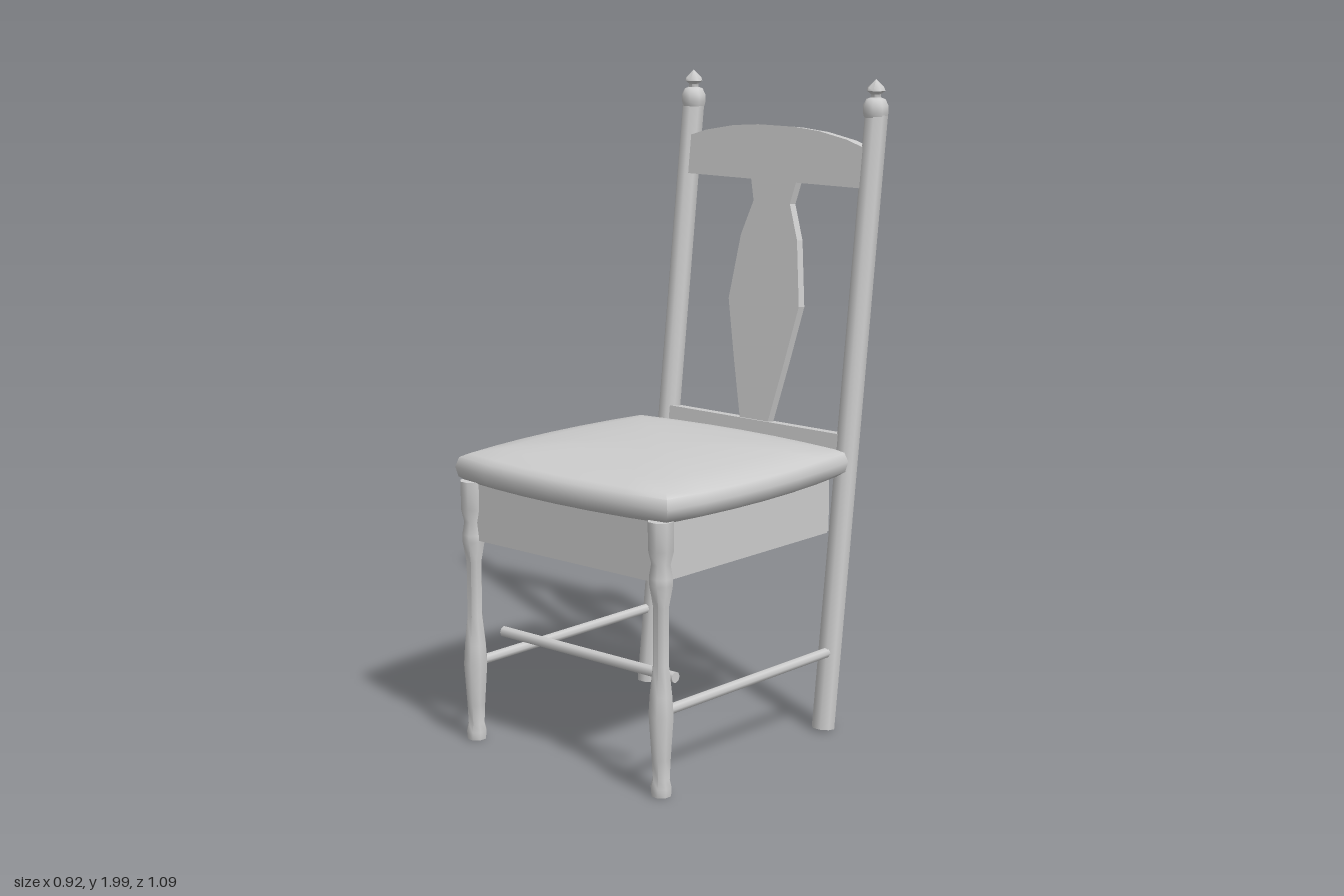
import * as THREE from 'three';
import { toCreasedNormals } from 'three/addons/utils/BufferGeometryUtils.js';

const wood = new THREE.MeshStandardMaterial({ color: 0xcccccc });
wood.name = 'pale grey';

function add(parent, name, geometry, x = 0, y = 0, z = 0) {
  const mesh = new THREE.Mesh(geometry, wood);
  mesh.name = name;
  mesh.position.set(x, y, z);
  parent.add(mesh);
  return mesh;
}

// Turned part from [radius, height] pairs
function turned(profile, sides = 8) {
  const points = profile.map(([r, y]) => new THREE.Vector2(r, y));
  return toCreasedNormals(new THREE.LatheGeometry(points, sides, Math.PI / sides), 0.9);
}

// Flat board, centred in depth, from the right half of its outline
function board(half, depth) {
  const left = half.filter(([x]) => x > 0).reverse().map(([x, y]) => [-x, y]);
  const shape = new THREE.Shape([...half, ...left].map(([x, y]) => new THREE.Vector2(x, y)));
  const geometry = new THREE.ExtrudeGeometry(shape, { depth, bevelEnabled: false });
  geometry.translate(0, 0, -depth / 2);
  return geometry;
}

// Cushioned seat: a bowed square outline scaled through rings of height
function seatGeometry() {
  const steps = 6, outline = [];
  const bow = t => 1 - t * t;
  for (let side = 0; side < 4; side++) {
    for (let i = 0; i < steps; i++) {
      const t = 1 - (2 * i) / steps;
      const x = 0.425 + 0.036 * bow(t), z = 0.414 + 0.037 * bow(t);
      outline.push([[x, 0.414 * t], [0.425 * t, -z], [-x, -0.414 * t], [-0.425 * t, z]][side]);
    }
  }
  const rings = [[0, 0.815], [0.94, 0.815], [0.985, 0.83], [1, 0.86], [0.98, 0.889],
    [0.93, 0.9], [0.75, 0.915], [0.45, 0.926], [0, 0.93]];
  const positions = [], index = [], n = outline.length;
  rings.forEach(([s, y], r) => {
    outline.forEach(([x, z], i) => {
      positions.push(x * s, y, z * s);
      if (r === 0) return;
      const a = (r - 1) * n + i, b = (r - 1) * n + (i + 1) % n;
      if (rings[r - 1][0] > 0) index.push(a, b, a + n);
      if (s > 0) index.push(b, b + n, a + n);
    });
  });
  const geometry = new THREE.BufferGeometry();
  geometry.setAttribute('position', new THREE.Float32BufferAttribute(positions, 3));
  geometry.setIndex(index);
  return toCreasedNormals(geometry, 1.0);
}

export function createModel() {
  const chair = new THREE.Group();
  chair.name = 'chair';

  add(chair, 'seat', seatGeometry(), 0, 0, 0.097);

  // Open apron frame under the seat
  add(chair, 'frontApron', new THREE.BoxGeometry(0.72, 0.18, 0.02), 0, 0.73, 0.485);
  add(chair, 'backApron', new THREE.BoxGeometry(0.74, 0.18, 0.02), 0, 0.73, -0.285);
  for (const s of [-1, 1]) {
    add(chair, 'sideApron', new THREE.BoxGeometry(0.02, 0.18, 0.75), s * 0.37, 0.73, 0.1);
  }

  // Reclined back frame
  const back = new THREE.Group();
  back.name = 'backFrame';
  back.position.z = -0.285;
  back.rotation.x = -0.119;
  chair.add(back);

  const legProfile = [[0, 0.01], [0.03, 0.01], [0.032, 0.035], [0.026, 0.06], [0.029, 0.12],
    [0.038, 0.25], [0.034, 0.31], [0.024, 0.4], [0.024, 0.57], [0.036, 0.635], [0.036, 0.655],
    [0.029, 0.695], [0.039, 0.735], [0.039, 0.82], [0, 0.82]];
  const finialProfile = [[0, 1.885], [0.036, 1.885], [0.04, 1.9], [0.04, 1.92], [0.03, 1.94],
    [0.016, 1.945], [0.016, 1.955], [0.029, 1.965], [0.026, 1.975], [0, 2]];
  const postProfile = [[0, 0.012], [0.036, 0.012], [0.036, 1.905], [0, 1.905]];

  for (const s of [-1, 1]) {
    add(chair, 'frontLeg', turned(legProfile), s * 0.378, 0, 0.485);
    add(back, 'backPost', turned(postProfile), s * 0.365, 0, 0);
    add(chair, 'finial', turned(finialProfile), s * 0.363, 0, -0.51);
    const rod = new THREE.CylinderGeometry(0.016, 0.016, 0.76, 8);
    add(chair, 'sideStretcher', rod, s * 0.372, 0.255, 0.09).rotation.x = Math.PI / 2;
  }

  // Front stretcher
  const frontRod = new THREE.CylinderGeometry(0.017, 0.017, 0.7, 8);
  add(chair, 'frontStretcher', frontRod, 0, 0.333, 0.39).rotation.z = Math.PI / 2;

  // Arched crest rail, vase-shaped splat and lower rail
  add(back, 'crestRail', board([[0, 1.682], [0.345, 1.682], [0.345, 1.805], [0.28, 1.825],
    [0.17, 1.845], [0.07, 1.853], [0, 1.853]], 0.05));
  add(back, 'splat', board([[0, 0.92], [0.055, 0.92], [0.1, 1.11], [0.142, 1.3], [0.113, 1.505],
    [0.073, 1.615], [0.092, 1.69], [0, 1.69]], 0.028));
  add(back, 'lowerRail', new THREE.BoxGeometry(0.7, 0.07, 0.05), 0, 0.895, 0);

  return chair;
}
